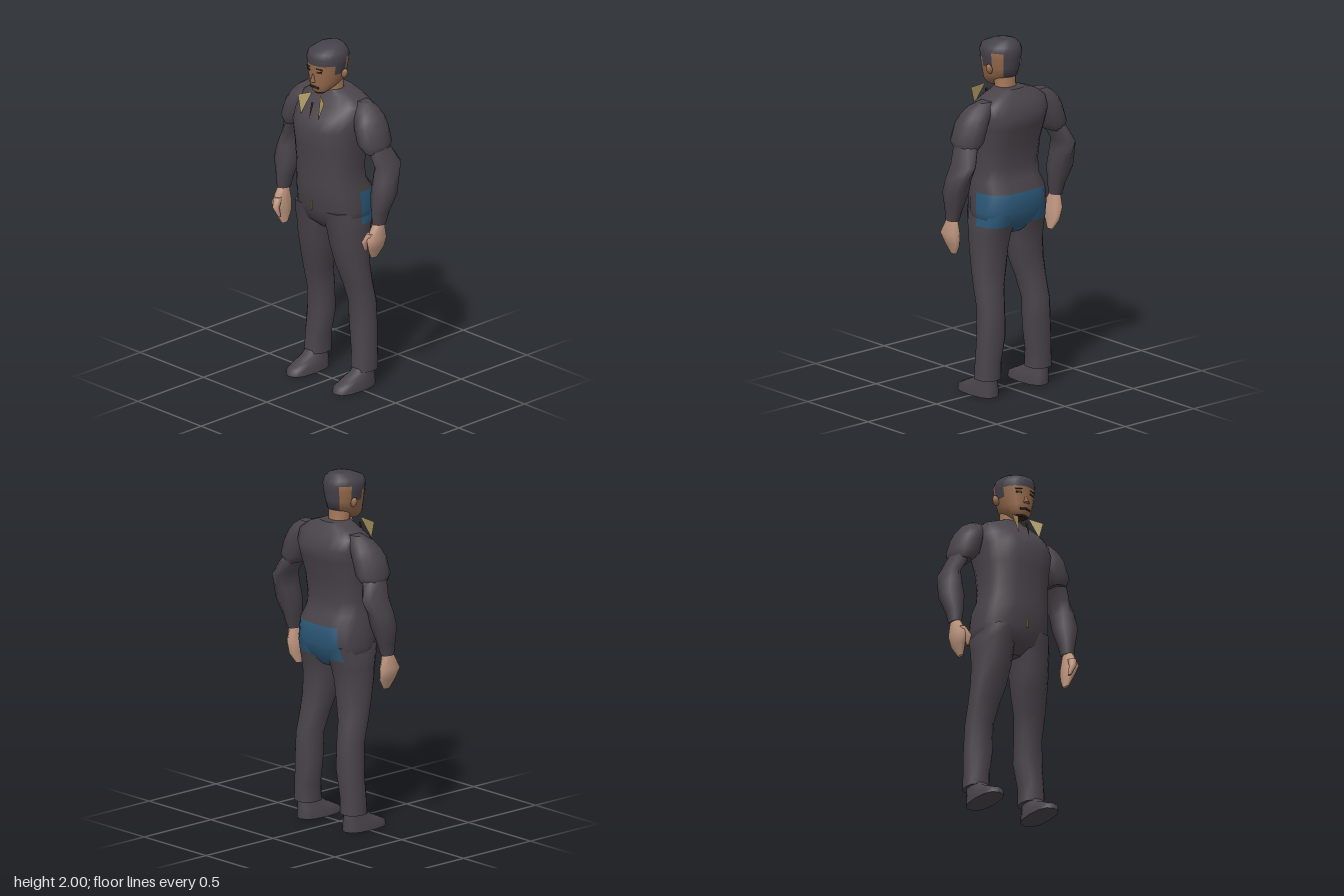
import * as THREE from 'three';

const mat = (name, color, side = THREE.FrontSide) => {
  const m = new THREE.MeshStandardMaterial({ color, side });
  m.name = name;
  return m;
};

// Loft through horizontal rings, listed upwards: [y, xMin, xMax, zBack, zFront].
// pick(ring, angle) chooses a material index for each face; angle 0 is the front, 90 the left.
function loft(name, rings, mats, { sides = 12, power = 2.3, backPower = power, pick = () => 0 } = {}) {
  const pos = [], faces = [];
  const curve = (v, p) => Math.sign(v) * Math.pow(Math.abs(v), 2 / p);
  const addRing = ([y, x0, x1, z0, z1]) => {
    const start = pos.length / 3;
    for (let i = 0; i < sides; i++) {
      const a = (i / sides) * Math.PI * 2, p = Math.cos(a) < 0 ? backPower : power;
      pos.push((x0 + x1) / 2 + (x1 - x0) / 2 * curve(Math.sin(a), p), y,
        (z0 + z1) / 2 + (z1 - z0) / 2 * curve(Math.cos(a), p));
    }
    return start;
  };
  const starts = rings.map(addRing);
  for (let j = 0; j < rings.length - 1; j++) {
    for (let i = 0; i < sides; i++) {
      const n = (i + 1) % sides, a = starts[j], b = starts[j + 1];
      faces.push([pick(j, (i + 0.5) * 360 / sides), a + i, a + n, b + n, a + i, b + n, b + i]);
    }
  }
  // End caps with their own vertices, so the rims stay crisp
  for (const [ring, up] of [[rings[0], false], [rings[rings.length - 1], true]]) {
    const s = addRing(ring), j = up ? rings.length - 2 : 0;
    for (let i = 1; i < sides - 1; i++) {
      faces.push([pick(j, 0), s, up ? s + i : s + i + 1, up ? s + i + 1 : s + i]);
    }
  }
  const geo = new THREE.BufferGeometry(), index = [];
  mats.forEach((_, m) => {
    const from = index.length;
    for (const f of faces) if (f[0] === m) index.push(...f.slice(1));
    geo.addGroup(from, index.length - from, m);
  });
  geo.setAttribute('position', new THREE.Float32BufferAttribute(pos, 3));
  geo.setIndex(index);
  geo.computeVertexNormals();
  const mesh = new THREE.Mesh(geo, mats.length > 1 ? mats : mats[0]);
  mesh.name = name;
  return mesh;
}

// Symmetric rings: [y, halfWidth, zBack, zFront]
const centred = rows => rows.map(([y, w, b, f]) => [y, -w, w, b, f]);
// Rings of a limb, placed on side s (+1 left, -1 right)
const onSide = (rows, s) => rows.map(([y, a, b, z0, z1]) => (s > 0 ? [y, a, b, z0, z1] : [y, -b, -a, z0, z1]));

function triangle(name, points, material) {
  const geo = new THREE.BufferGeometry();
  geo.setAttribute('position', new THREE.Float32BufferAttribute(points, 3));
  geo.computeVertexNormals();
  const mesh = new THREE.Mesh(geo, material);
  mesh.name = name;
  return mesh;
}

function plate(name, size, at, material, turnY = 0, turnZ = 0) {
  const mesh = new THREE.Mesh(new THREE.BoxGeometry(...size), material);
  mesh.position.set(...at);
  mesh.rotation.set(0, turnY, turnZ);
  mesh.name = name;
  return mesh;
}

export function createModel() {
  const suit = mat('suit', 0x4a444a);
  const hair = mat('hair', 0x45414a);
  const face = mat('face skin', 0x966a4c);
  const neck = mat('neck skin', 0xa27759);
  const hand = mat('hand skin', 0xc49a82);
  const blue = mat('blue patch', 0x2c5878);
  const gold = mat('gold trim', 0xa8935f, THREE.DoubleSide);
  const dark = mat('dark features', 0x32221c, THREE.DoubleSide);

  const model = new THREE.Group();
  model.name = 'standingMan';

  // Jacket and hips, with the blue patch round the back of the hips
  model.add(loft('torso', centred([
    [0.915, 0.06, -0.1, 0.06], [0.965, 0.21, -0.142, 0.118], [1.05, 0.222, -0.182, 0.152],
    [1.16, 0.213, -0.178, 0.166], [1.22, 0.202, -0.135, 0.168], [1.3, 0.198, -0.128, 0.172],
    [1.42, 0.205, -0.145, 0.183], [1.53, 0.22, -0.178, 0.196], [1.6, 0.224, -0.194, 0.16],
    [1.665, 0.218, -0.162, 0.095], [1.705, 0.16, -0.135, 0.06], [1.735, 0.075, -0.112, 0.045],
  ]), [suit, blue], {
    sides: 20, backPower: 2.9,
    pick: (j, a) => (j <= 2 && a > 90 && a < 216 ? 1 : 0),
  }));

  // Neck and head
  model.add(loft('neck', centred([
    [1.69, 0.068, -0.075, 0.045], [1.74, 0.06, -0.06, 0.05], [1.82, 0.06, -0.06, 0.06],
  ]), [neck]));
  model.add(loft('head', centred([
    [1.727, 0.03, 0.06, 0.122], [1.739, 0.046, 0.045, 0.13], [1.76, 0.065, 0.01, 0.14],
    [1.795, 0.084, -0.068, 0.147], [1.845, 0.098, -0.078, 0.148], [1.9, 0.107, -0.086, 0.152],
    [1.935, 0.111, -0.089, 0.154], [1.965, 0.1, -0.082, 0.144], [1.99, 0.07, -0.062, 0.085],
    [2.0, 0.036, -0.045, 0.045],
  ]), [face, hair, dark], {
    sides: 20, power: 2.1,
    pick: (j, a) => {
      const side = a > 180 ? 360 - a : a;
      if (j === 0) return side < 90 ? 2 : 0; // beard along the jaw
      if (j >= 6) return 1;
      if (j === 5) return side > 108 && side < 144 ? 0 : 1; // bare patch behind the ear
      return (j >= 3 && side > 144) || (j === 4 && side > 72 && side < 108) ? 1 : 0;
    },
  }));

  // Nose
  const nose = new THREE.Mesh(new THREE.ConeGeometry(0.02, 0.06, 4), face);
  nose.name = 'nose';
  nose.position.set(0, 1.832, 0.147);
  nose.rotation.x = -0.12;
  model.add(nose);

  for (const s of [1, -1]) {
    const label = s > 0 ? 'left' : 'right';

    // Eyes, brows, mouth and ears
    model.add(plate(label + 'Eye', [0.032, 0.011, 0.006], [s * 0.042, 1.863, 0.139], dark, s * 0.35));
    model.add(plate(label + 'Brow', [0.038, 0.005, 0.006], [s * 0.044, 1.882, 0.141], dark, s * 0.35, s * -0.1));
    model.add(plate(label + 'Mouth', [0.034, 0.012, 0.006], [s * 0.016, 1.769, 0.14], dark, s * 0.25, s * -0.15));
    const ear = new THREE.Mesh(new THREE.SphereGeometry(1, 8, 6), face);
    ear.name = label + 'Ear';
    ear.scale.set(0.018, 0.03, 0.018);
    ear.position.set(s * 0.106, 1.842, 0.008);
    ear.rotation.z = s * -0.3;
    model.add(ear);

    // Pointed collar flap, its outer corner standing forward
    model.add(triangle(label + 'Collar', [
      s * 0.104, 1.7, 0.162, s * 0.033, 1.724, 0.122, s * 0.068, 1.598, 0.174,
    ], gold));

    // Upper sleeve and forearm sleeve
    model.add(loft(label + 'UpperArm', onSide([
      [1.43, 0.27, 0.36, -0.11, 0.045], [1.48, 0.22, 0.385, -0.132, 0.07],
      [1.57, 0.19, 0.355, -0.132, 0.066], [1.62, 0.17, 0.328, -0.125, 0.045],
      [1.66, 0.14, 0.293, -0.11, 0.02], [1.69, 0.13, 0.245, -0.09, -0.02],
    ], s), [suit]));
    model.add(loft(label + 'Forearm', onSide([
      [1.03, 0.345, 0.408, -0.035, 0.046], [1.1, 0.333, 0.418, -0.058, 0.052],
      [1.2, 0.315, 0.446, -0.1, 0.05], [1.28, 0.322, 0.432, -0.128, 0.038],
      [1.36, 0.325, 0.405, -0.167, 0.025], [1.46, 0.27, 0.37, -0.12, 0.04],
    ], s), [suit], { sides: 8 }));

    // Hand and thumb
    model.add(loft(label + 'Hand', onSide([
      [0.83, 0.343, 0.362, 0, 0.045], [0.89, 0.343, 0.388, -0.04, 0.078],
      [0.95, 0.34, 0.41, -0.045, 0.098], [1.04, 0.352, 0.4, -0.025, 0.042],
    ], s), [hand], { sides: 8 }));
    model.add(loft(label + 'Thumb', onSide([
      [0.88, 0.334, 0.348, 0.065, 0.085], [0.935, 0.332, 0.37, 0.07, 0.112],
      [0.985, 0.345, 0.392, 0.035, 0.085],
    ], s), [hand], { sides: 6 }));

    // Trouser leg, whose top runs into the blue patch, and shoe
    model.add(loft(label + 'Leg', onSide([
      [0.1, 0.115, 0.255, -0.14, 0.005], [0.2, 0.115, 0.25, -0.14, 0],
      [0.35, 0.086, 0.245, -0.145, -0.008], [0.5, 0.09, 0.237, -0.143, 0.003],
      [0.62, 0.07, 0.235, -0.118, 0.036], [0.72, 0.042, 0.231, -0.11, 0.065],
      [0.84, 0.024, 0.226, -0.115, 0.096], [0.92, 0.014, 0.225, -0.132, 0.108],
      [0.97, 0, 0.224, -0.148, 0.122], [1.05, 0, 0.21, -0.172, 0.14],
    ], s), [suit, blue], {
      power: 2.6,
      pick: (j, a) => (j === 8 && a > 90 && a < (s > 0 ? 270 : 210) ? 1 : 0),
    }));
    model.add(loft(label + 'Shoe', onSide([
      [0, 0.115, 0.25, -0.13, 0.155], [0.035, 0.118, 0.248, -0.13, 0.148],
      [0.06, 0.125, 0.243, -0.128, 0.095], [0.09, 0.135, 0.238, -0.125, 0.03],
      [0.13, 0.14, 0.235, -0.12, -0.01],
    ], s), [suit], { power: 2.5 }));
  }

  // Slim tie and front fastening
  model.add(triangle('tie', [-0.009, 1.68, 0.15, 0, 1.585, 0.178, 0.009, 1.68, 0.15], dark));
  model.add(plate('fastening', [0.008, 0.055, 0.008], [0, 1.072, 0.161], gold));
  return model;
}
